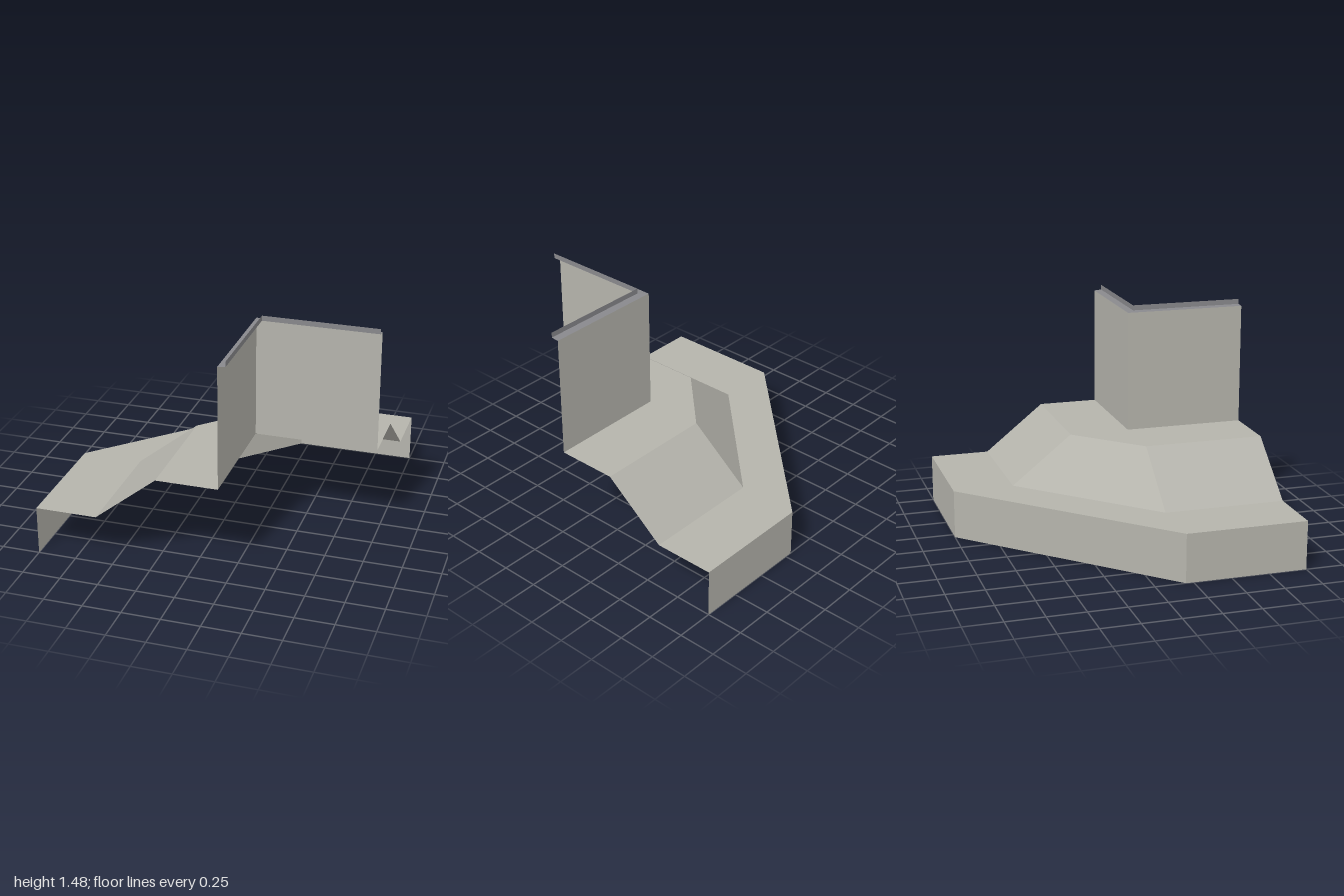
import * as THREE from 'three';

const stone = new THREE.MeshStandardMaterial({ name: 'warm grey stone', color: 0xb5b4ac, side: THREE.DoubleSide, flatShading: true });
const metal = new THREE.MeshStandardMaterial({ name: 'grey metal trim', color: 0x88888c, side: THREE.DoubleSide, flatShading: true });

// Corner path in plan, mirrored about the diagonal: d = offset of both arms.
// The bend starts at 0.2, so it shrinks to a sharp corner when d reaches 0.2.
function path(d, y) {
  const bend = Math.max(0.2, d);
  return [[d, y, 1], [d, y, bend], [bend, y, d], [1, y, d]];
}

// Open strip of flat quads between two paths, facing outwards/upwards.
function strip(name, lower, upper, material) {
  const pos = [];
  for (let i = 0; i < lower.length - 1; i++) {
    const [a, b, c, d] = [lower[i], lower[i + 1], upper[i + 1], upper[i]];
    const same = (p, q) => p.every((v, k) => v === q[k]);
    if (!same(a, b)) pos.push(...a, ...c, ...b);
    if (!same(c, d)) pos.push(...a, ...d, ...c);
  }
  const geo = new THREE.BufferGeometry();
  geo.setAttribute('position', new THREE.Float32BufferAttribute(pos, 3));
  geo.computeVertexNormals();
  const mesh = new THREE.Mesh(geo, material);
  mesh.name = name;
  return mesh;
}

export function createModel() {
  const group = new THREE.Group();
  group.name = 'steppedCornerWall';

  // Stepped section from the outer foot to the trim: name, offset, height, colour
  const section = [
    ['foot', -1, 0],
    ['plinthWall', -1, 0.322, stone],
    ['lowerLedge', -0.6, 0.322, stone],
    ['slope', -0.2, 0.643, stone],
    ['upperLedge', 0.2, 0.643, stone],
    ['tallWall', 0.2, 1.446, stone],
    ['trimLedge', 0.25, 1.45, metal],
    ['trimLip', 0.25, 1.484, metal],
  ];
  for (let i = 1; i < section.length; i++) {
    const [, d0, y0] = section[i - 1];
    const [name, d1, y1, material] = section[i];
    group.add(strip(name, path(d0, y0), path(d1, y1), material));
  }
  return group;
}
